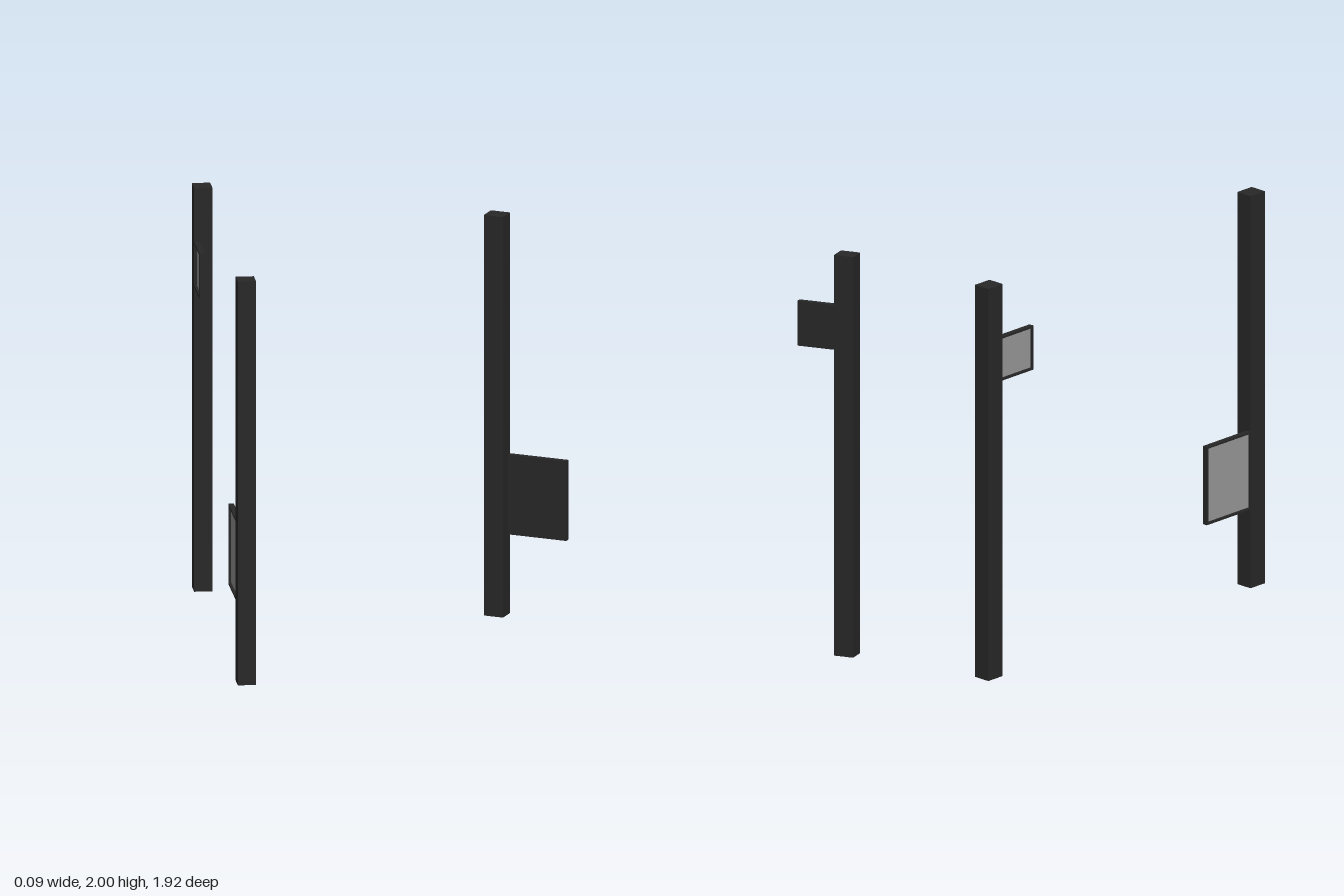
import * as THREE from 'three';

const dark = new THREE.MeshStandardMaterial({ color: 0x282828 });
const grey = new THREE.MeshStandardMaterial({ color: 0x999999 });

// Box given by its min and max corners
function box(name, material, [x0, y0, z0], [x1, y1, z1]) {
  const mesh = new THREE.Mesh(new THREE.BoxGeometry(x1 - x0, y1 - y0, z1 - z0), material);
  mesh.position.set((x0 + x1) / 2, (y0 + y1) / 2, (z0 + z1) / 2);
  mesh.name = name;
  return mesh;
}

// Post with a thin tray-like panel reaching inward; side = +1 front, -1 back
function postWithPanel(name, side, y0, y1, zInner) {
  const group = new THREE.Group();
  group.name = name;
  const xOut = -0.045, xIn = -0.018, rim = 0.01, floor = -0.03, zPost = 0.86;
  const add = (part, mat, [xa, ya, za], [xb, yb, zb]) => {
    const [p, q] = side > 0 ? [za, zb] : [-zb, -za];
    group.add(box(part, mat, [xa, ya, p], [xb, yb, q]));
  };
  add('post', dark, [xOut, 0, zPost], [0.043, 2, 0.96]);
  // Panel back plate, rim on three sides and recessed inlay
  add('panelBack', dark, [floor, y0, zInner], [xIn, y1, zPost]);
  add('panelRimTop', dark, [xOut, y1 - rim, zInner], [floor, y1, zPost]);
  add('panelRimBottom', dark, [xOut, y0, zInner], [floor, y0 + rim, zPost]);
  add('panelRimEnd', dark, [xOut, y0 + rim, zInner], [floor, y1 - rim, zInner + rim]);
  add('panelInlay', grey, [floor - 0.002, y0 + rim, zInner + rim], [floor, y1 - rim, zPost]);
  return group;
}

export function createModel() {
  const model = new THREE.Group();
  model.name = 'postPair';
  model.add(postWithPanel('frontPost', 1, 0.4, 0.798, 0.557));
  model.add(postWithPanel('backPost', -1, 1.508, 1.732, 0.645));
  return model;
}
